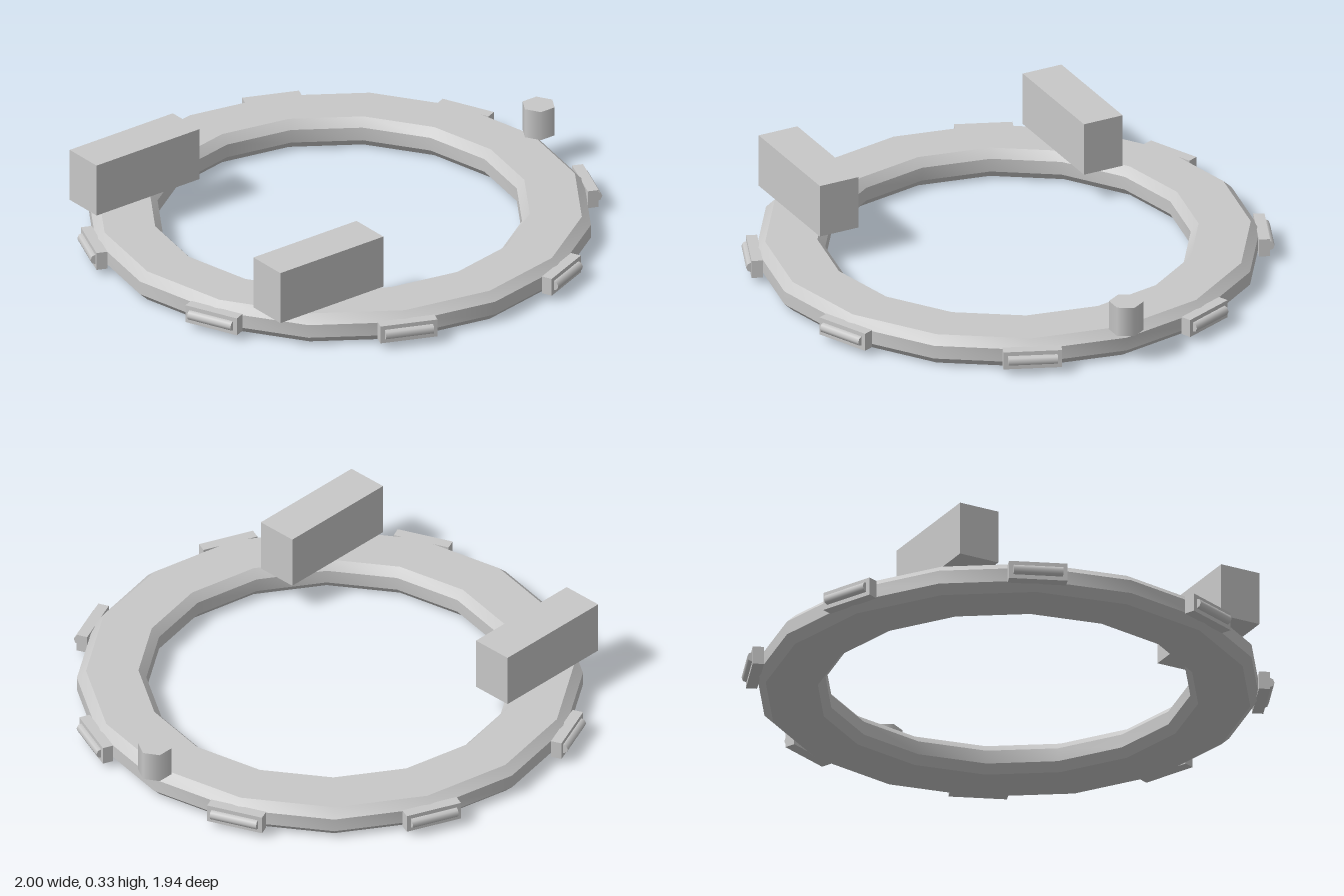
import * as THREE from 'three';
import { toCreasedNormals } from 'three/addons/utils/BufferGeometryUtils.js';

export function createModel() {
  const model = new THREE.Group();
  model.name = 'ringAssembly';
  const grey = new THREE.MeshStandardMaterial({ color: 0xc8c8c8 });
  grey.name = 'light grey';

  const add = (name, geometry, x, y, z, parent = model) => {
    const mesh = new THREE.Mesh(geometry, grey);
    mesh.name = name;
    mesh.position.set(x, y, z);
    parent.add(mesh);
    return mesh;
  };

  const cx = -0.027; // centre of the ring
  const top = 0.12;

  // Sixteen-sided ring with bevelled edges
  const profile = [
    [0.73, 0], [0.93, 0], [0.965, 0.033], [0.965, 0.087],
    [0.93, top], [0.73, top], [0.7, 0.087], [0.7, 0.033], [0.73, 0],
  ].map(([r, y]) => new THREE.Vector2(r, y));
  const ring = new THREE.LatheGeometry(profile, 16);
  add('ring', toCreasedNormals(ring, Math.PI / 6), cx, 0, 0);

  // Eight rim plates, each with a rounded bar along its face
  const plate = new THREE.BoxGeometry(0.225, 0.072, 0.043);
  const bar = new THREE.CylinderGeometry(0.02, 0.02, 0.19, 8).rotateZ(Math.PI / 2);
  for (let i = 0; i < 8; i++) {
    const fitting = new THREE.Group();
    fitting.name = 'rimFitting' + (i + 1);
    fitting.position.set(cx, top / 2, 0);
    fitting.rotation.y = (i + 0.5) * Math.PI / 4;
    add('rimPlate', plate, 0, 0, 0.9715, fitting);
    add('rimBar', bar, 0, 0, 0.992, fitting);
    model.add(fitting);
  }

  // Two blocks standing on the right-hand side of the ring
  const block = new THREE.BoxGeometry(0.498, 0.214, 0.167);
  add('frontBlock', block, -0.574, top + 0.107, 0.57);
  add('backBlock', block, -0.574, top + 0.107, -0.57);

  // Six-sided post on the left edge
  const post = new THREE.CylinderGeometry(0.066, 0.066, 0.12, 6).rotateY(Math.PI / 2);
  add('post', post, 0.934, top + 0.06, 0);

  return model;
}
